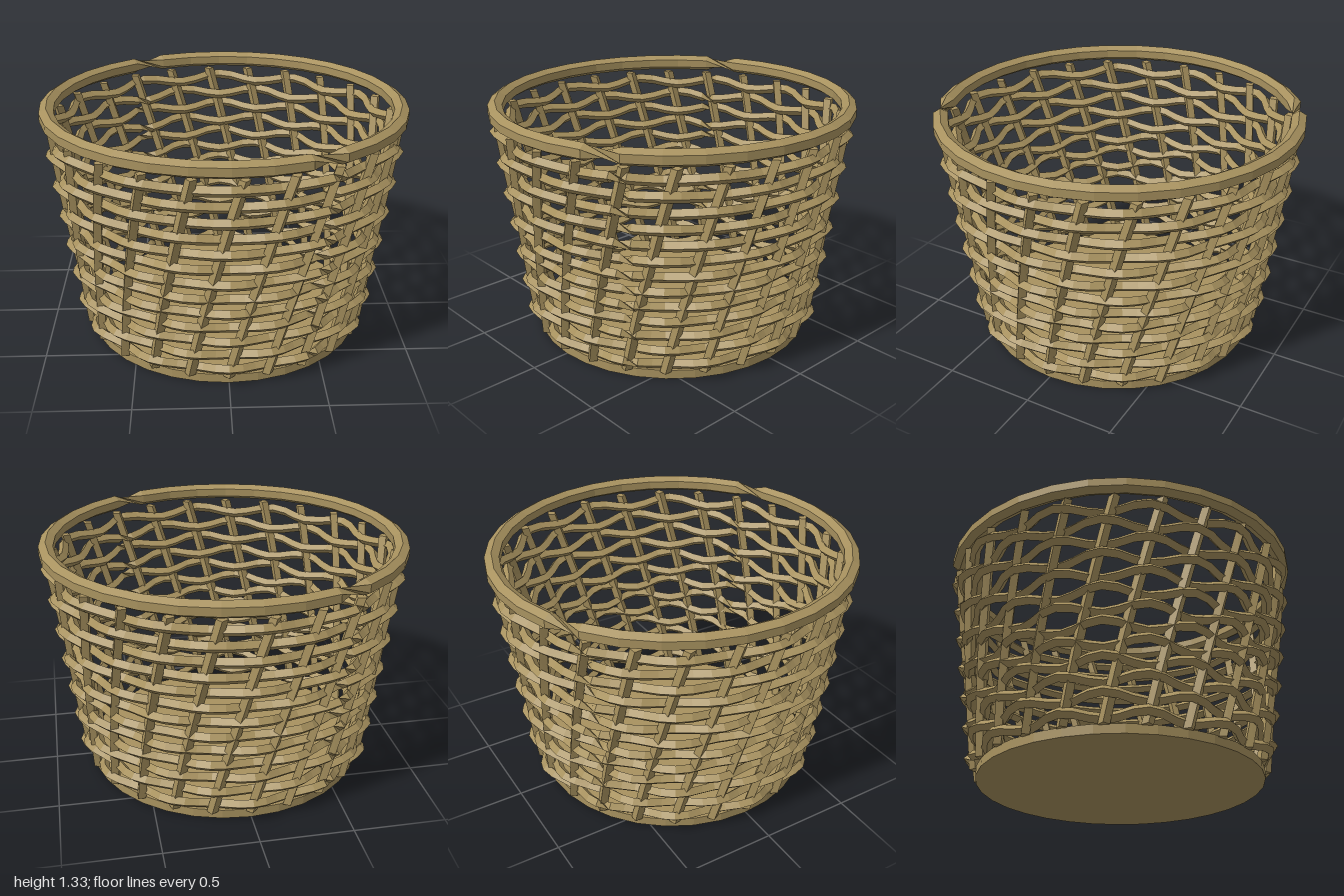
import * as THREE from 'three';

const wicker = new THREE.MeshStandardMaterial({ color: 0xa8925f, flatShading: true, side: THREE.DoubleSide });
wicker.name = 'wicker';

// Sweeps an n-sided section along frames {p, u, v}; 'flips' lists segments where the strand makes a half twist.
function sweep(frames, n, radius, startAngle, closed, flips = []) {
  const rings = frames.map(({ p, u, v }) => Array.from({ length: n }, (_, k) => {
    const a = startAngle + (k / n) * Math.PI * 2;
    return p.clone().addScaledVector(u, radius * Math.cos(a)).addScaledVector(v, radius * Math.sin(a));
  }));
  const pos = [];
  const tri = (...pts) => pts.forEach((q) => pos.push(q.x, q.y, q.z));
  const segments = closed ? rings.length : rings.length - 1;
  for (let i = 0; i < segments; i++) {
    const a = rings[i], b = rings[(i + 1) % rings.length];
    const s = flips.includes(i) ? n / 2 : 0;
    for (let k = 0; k < n; k++) {
      const k1 = (k + 1) % n, b0 = b[(k + s) % n], b1 = b[(k1 + s) % n];
      tri(a[k], b0, b1);
      tri(a[k], b1, a[k1]);
    }
  }
  if (!closed) {
    const a = rings[0], b = rings[rings.length - 1];
    for (let k = 1; k < n - 1; k++) {
      tri(a[0], a[k], a[k + 1]);
      tri(b[0], b[k + 1], b[k]);
    }
  }
  const g = new THREE.BufferGeometry();
  g.setAttribute('position', new THREE.Float32BufferAttribute(pos, 3));
  g.computeVertexNormals();
  return g;
}

// Angles run from the front (+z) towards +x
const outward = (a) => new THREE.Vector3(Math.sin(a), 0, Math.cos(a));
const along = (a) => new THREE.Vector3(Math.cos(a), 0, -Math.sin(a));
const wallRadius = (y) => 0.782 + 0.135 * y;

function ringFrames(count, radiusAt, yAt) {
  return Array.from({ length: count }, (_, i) => {
    const a = (i / count) * Math.PI * 2;
    const u = outward(a);
    const p = u.clone().multiplyScalar(radiusAt(a));
    p.y = yAt(a);
    return { p, u, v: new THREE.Vector3(0, 1, 0) };
  });
}

export function createModel() {
  const basket = new THREE.Group();
  basket.name = 'basket';
  const add = (geometry, name, parent = basket) => {
    const m = new THREE.Mesh(geometry, wicker);
    m.name = name;
    parent.add(m);
    return m;
  };

  // Solid round floor
  add(new THREE.CylinderGeometry(0.785, 0.785, 0.05, 32), 'base').position.y = 0.025;

  // Six-sided rim with a half twist on two opposite sides
  add(sweep(ringFrames(32, () => 0.961, () => 1.28), 6, 0.045, Math.PI / 6, true, [2, 18]), 'rim');

  // Leaning upright stakes
  const stakes = new THREE.Group();
  stakes.name = 'stakes';
  basket.add(stakes);
  const STAKES = 24, LEAN = 0.33, STEPS = 6;
  for (let s = 0; s < STAKES; s++) {
    const frames = [];
    for (let i = 0; i <= STEPS; i++) {
      const t = i / STEPS;
      const a = (s / STAKES) * Math.PI * 2 + LEAN * t;
      const y = 0.045 + 1.18 * t;
      const u = outward(a);
      const p = u.clone().multiplyScalar(wallRadius(y));
      p.y = y;
      frames.push({ p, u, v: along(a).negate() });
    }
    add(sweep(frames, 4, 0.03, 0, false), 'stake', stakes);
  }

  // Wavy woven rows, alternating in and out
  const rows = new THREE.Group();
  rows.name = 'wovenRows';
  basket.add(rows);
  for (let r = 0; r < 13; r++) {
    const y = 0.095 + r * 0.089;
    const sign = r % 2 ? -1 : 1;
    const wave = (a) => sign * Math.cos(a * STAKES / 2);
    const frames = ringFrames(72, (a) => wallRadius(y) + 0.03 * wave(a), (a) => y + 0.013 * wave(a));
    add(sweep(frames, 4, 0.029, 0, true, [6, 42]), 'wovenRow', rows);
  }
  return basket;
}
